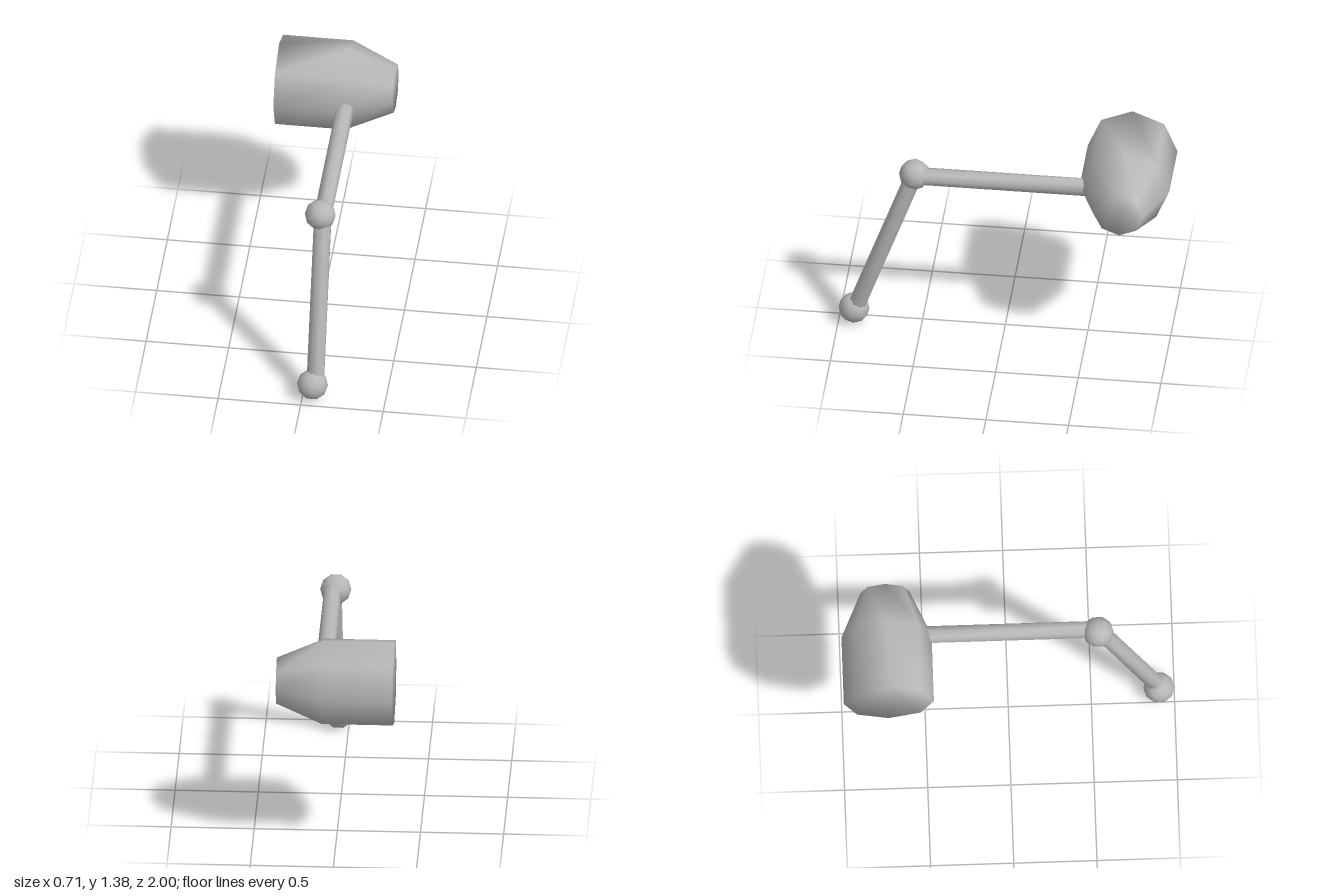
import * as THREE from 'three';
import { mergeVertices } from 'three/addons/utils/BufferGeometryUtils.js';

// Weld every corner so shading runs smoothly over the whole part
function weld(geometry) {
  geometry.deleteAttribute('normal');
  geometry.deleteAttribute('uv');
  const welded = mergeVertices(geometry, 1e-4);
  welded.computeVertexNormals();
  return welded;
}

// Closed eight-sided solid along x from rings of [x, radius]
function octagonalSolid(rings) {
  const sides = 8, positions = [], index = [];
  for (const [x, r] of rings) {
    for (let i = 0; i < sides; i++) {
      const a = (i / sides) * Math.PI * 2;
      positions.push(x, r * Math.cos(a), r * Math.sin(a));
    }
  }
  for (let k = 0; k < rings.length - 1; k++) {
    for (let i = 0; i < sides; i++) {
      const a = k * sides + i, b = k * sides + (i + 1) % sides;
      index.push(a, b, a + sides, b, b + sides, a + sides);
    }
  }
  // flat end caps
  const last = (rings.length - 1) * sides;
  for (let i = 1; i < sides - 1; i++) {
    index.push(0, i + 1, i, last, last + i, last + i + 1);
  }
  const g = new THREE.BufferGeometry();
  g.setAttribute('position', new THREE.Float32BufferAttribute(positions, 3));
  g.setIndex(index);
  g.computeVertexNormals();
  return g;
}

export function createModel() {
  const lamp = new THREE.Group();
  lamp.name = 'wallLamp';
  const grey = new THREE.MeshStandardMaterial({ color: 0xb8b8b8 });
  grey.name = 'grey';

  function add(name, geometry) {
    const mesh = new THREE.Mesh(geometry, grey);
    mesh.name = name;
    lamp.add(mesh);
    return mesh;
  }

  // Ball joints
  function joint(name, x, y, z) {
    add(name, weld(new THREE.IcosahedronGeometry(0.094, 1))).position.set(x, y, z);
  }
  joint('baseJoint', 0.06, 0.094, 0.908);
  joint('elbowJoint', 0.06, 1.102, 0.542);

  // Rods stretched between two points
  function rod(name, from, to) {
    const along = to.clone().sub(from), half = along.length() / 2;
    const mesh = add(name, octagonalSolid([[-half, 0.054], [half, 0.054]]));
    mesh.position.copy(from).add(to).multiplyScalar(0.5);
    mesh.quaternion.setFromUnitVectors(new THREE.Vector3(1, 0, 0), along.normalize());
  }
  rod('lowerArm', new THREE.Vector3(0.076, 0.1, 0.9), new THREE.Vector3(0.076, 1.09, 0.548));
  rod('upperArm', new THREE.Vector3(0.076, 1.103, 0.53), new THREE.Vector3(0.076, 1.103, -0.6));

  // Lamp head: straight barrel tapering toward +x
  add('lampHead', octagonalSolid([[-0.353, 0.271], [0.073, 0.271], [0.353, 0.147]]))
    .position.set(0, 1.109, -0.729);

  return lamp;
}
